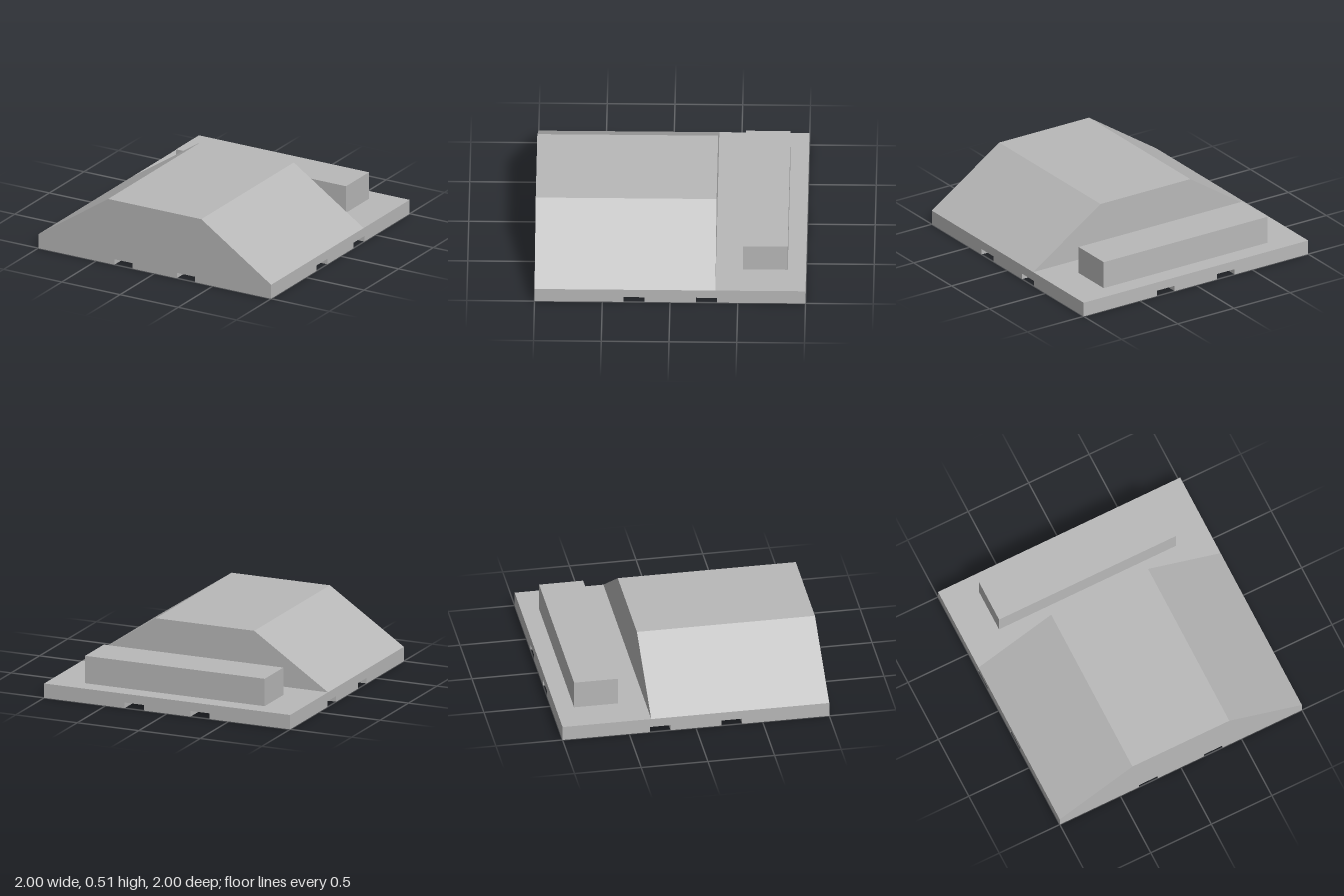
import * as THREE from 'three';

const grey = new THREE.MeshStandardMaterial({ color: 0xb8b8b8 });
grey.name = 'plain grey';

const BASE_TOP = 0.11, NOTCH_TOP = 0.043, HOLE_TOP = 0.098;
const NOTCH_IN = 0.19, NOTCH_OUT = 0.345, NOTCH_DEPTH = 0.16;

function part(name, geometry, x = 0, y = 0, z = 0) {
  const mesh = new THREE.Mesh(geometry, grey);
  mesh.name = name;
  mesh.position.set(x, y, z);
  return mesh;
}

// Flat slab standing on y = 0, extruded upward from a plan outline
function slab(shape, height) {
  const geometry = new THREE.ExtrudeGeometry(shape, { depth: height, bevelEnabled: false, curveSegments: 20 });
  return geometry.rotateX(-Math.PI / 2);
}

// Repeats plan points on all four sides by quarter turns
function fourSides(points) {
  const out = [];
  for (let side = 0; side < 4; side++) {
    for (const [x, y] of points) {
      out.push([[x, y], [-y, x], [-x, -y], [y, -x]][side]);
    }
  }
  return out.map(([x, y]) => new THREE.Vector2(x, y));
}

export function createModel() {
  const model = new THREE.Group();
  model.name = 'rampTile';

  // Lower base layer: square with two clip notches per side
  const inner = -1 + NOTCH_DEPTH;
  const notched = new THREE.Shape(fourSides([
    [-1, -1],
    [-NOTCH_OUT, -1], [-NOTCH_OUT, inner], [-NOTCH_IN, inner], [-NOTCH_IN, -1],
    [NOTCH_IN, -1], [NOTCH_IN, inner], [NOTCH_OUT, inner], [NOTCH_OUT, -1],
  ]));
  model.add(part('notchedBase', slab(notched, NOTCH_TOP)));

  // Middle base layer: a round socket above each notch
  const square = new THREE.Shape(fourSides([[-1, -1]]));
  const mid = (NOTCH_IN + NOTCH_OUT) / 2;
  for (const c of fourSides([[-mid, -0.9], [mid, -0.9]])) {
    square.holes.push(new THREE.Path().absarc(c.x, c.y, 0.04, 0, Math.PI * 2, true));
  }
  model.add(part('socketLayer', slab(square, HOLE_TOP - NOTCH_TOP), 0, NOTCH_TOP));

  // Base top plate
  const plateHeight = BASE_TOP - HOLE_TOP;
  model.add(part('topPlate', new THREE.BoxGeometry(2, plateHeight, 2), 0, HOLE_TOP + plateHeight / 2));

  // Flat-topped hill with sloping sides, flush with the front edge
  const profile = new THREE.Shape([[-1, 0], [1, 0], [0.4, 0.4], [-0.4, 0.4]].map(([x, y]) => new THREE.Vector2(x, y)));
  const hill = new THREE.ExtrudeGeometry(profile, { depth: 1.335, bevelEnabled: false });
  model.add(part('hill', hill, 0, BASE_TOP, -0.335));

  // Low wall across the back
  model.add(part('backWall', new THREE.BoxGeometry(1.46, 0.21, 0.33), 0, BASE_TOP + 0.105, -0.7));

  return model;
}
